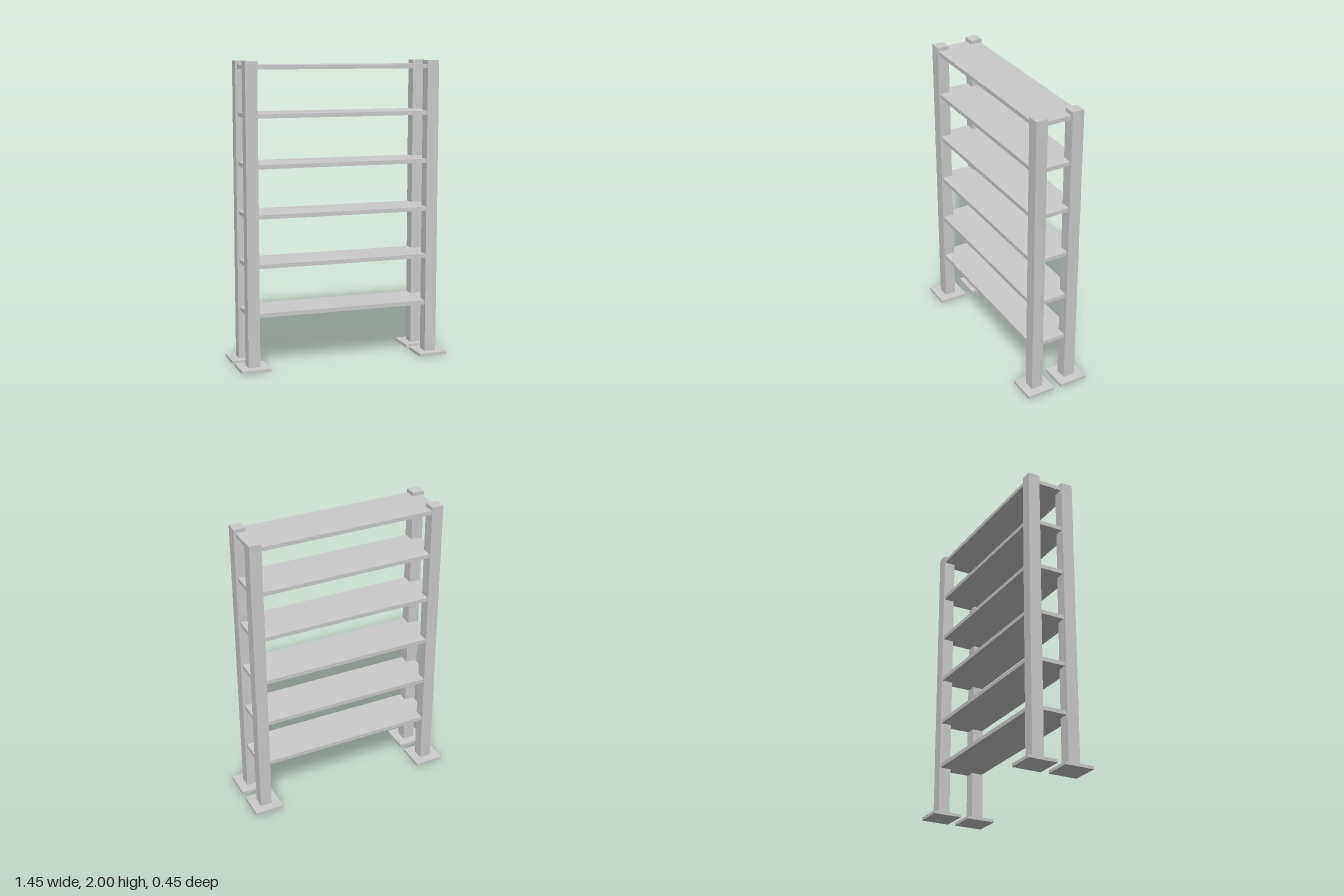
import * as THREE from 'three';

export function createModel() {
  const group = new THREE.Group();
  const material = new THREE.MeshStandardMaterial({ color: 0xcccccc, flatShading: true });

  // Box standing with its underside at y
  function addBox(name, w, h, d, x, y, z) {
    const mesh = new THREE.Mesh(new THREE.BoxGeometry(w, h, d), material);
    mesh.name = name;
    mesh.position.set(x, y + h / 2, z);
    group.add(mesh);
  }

  // Four corner posts, each on a square foot plate
  const footHeight = 0.02;
  for (const sx of [-1, 1]) {
    for (const sz of [-1, 1]) {
      const corner = (sz > 0 ? 'front' : 'back') + (sx > 0 ? 'Left' : 'Right');
      addBox(corner + 'Foot', 0.197, footHeight, 0.197, sx * 0.624, 0, sz * 0.125);
      addBox(corner + 'Post', 0.08, 2 - footHeight, 0.08, sx * 0.624, footHeight, sz * 0.125);
    }
  }

  // Six shelves notched into the posts; the top one sits slightly closer to its neighbour
  const shelfBottoms = [0.347, 0.67, 0.993, 1.317, 1.64, 1.948];
  shelfBottoms.forEach((y, i) => addBox('shelf' + (i + 1), 1.3, 0.027, 0.316, 0, y, 0));

  return group;
}
